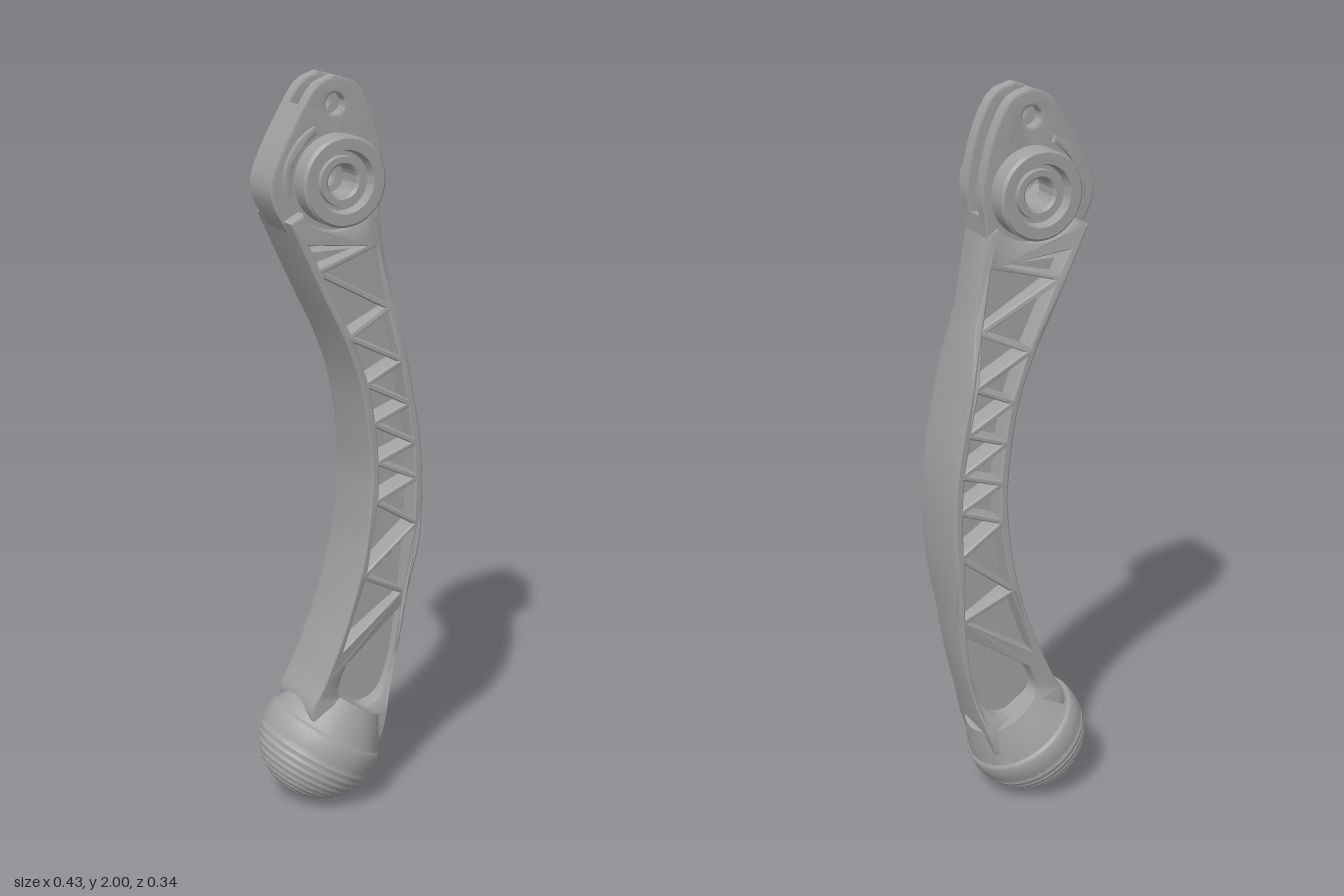
import * as THREE from 'three';
import { toCreasedNormals } from 'three/addons/utils/BufferGeometryUtils.js';

const V = (x, y) => new THREE.Vector2(x, y);
const pts = (list) => list.map(([x, y]) => V(x, y));
const spline = (list, n) => new THREE.SplineCurve(pts(list)).getPoints(n);

// Inner (-x) and outer (+x) edges of the curved leg, bottom to top
const INNER = spline([[-0.1, 0.22], [-0.128, 0.3], [-0.085, 0.39], [-0.02, 0.55], [0.03, 0.73], [0.05, 0.89],
  [0.05, 1.0], [0.025, 1.18], [-0.02, 1.315], [-0.1, 1.48], [-0.18, 1.65]], 60);
const OUTER = spline([[0.09, 0.17], [0.14, 0.335], [0.175, 0.49], [0.2, 0.68], [0.21, 0.89], [0.2, 1.05],
  [0.165, 1.235], [0.125, 1.45], [0.09, 1.645]], 60);
const HEAD_LEFT = spline([[-0.035, 2], [-0.09, 1.975], [-0.14, 1.9], [-0.19, 1.81], [-0.214, 1.74],
  [-0.202, 1.68], [-0.14, 1.58]], 40);
const HEAD_RIGHT = spline([[0.085, 1.58], [0.095, 1.68], [0.104, 1.75], [0.085, 1.85], [0.055, 1.93],
  [0.02, 1.98], [-0.035, 2]], 40);
const PIVOT = V(-0.035, 1.745);

// x of an edge at a given height
function edgeX(edge, y) {
  for (let i = 1; i < edge.length; i++) {
    const a = edge[i - 1], b = edge[i];
    if (y >= Math.min(a.y, b.y) && y <= Math.max(a.y, b.y) && a.y !== b.y) {
      return a.x + (b.x - a.x) * (y - a.y) / (b.y - a.y);
    }
  }
  return y < 0.5 ? edge[0].x : edge[edge.length - 1].x;
}

// Half thickness of the leg: the outer edge is wide only in the middle
function legHalf(x, y) {
  const l = edgeX(INNER, y), r = edgeX(OUTER, y);
  const u = THREE.MathUtils.clamp((x - l) / (r - l), 0, 1);
  const mid = THREE.MathUtils.smoothstep(y, 0.56, 0.78) * (1 - THREE.MathUtils.smoothstep(y, 1.26, 1.46));
  const outer = 0.062 + 0.038 * mid + 0.035 * (1 - THREE.MathUtils.smoothstep(y, 0.2, 0.36));
  return THREE.MathUtils.lerp(0.1, outer, u);
}

// Extrusion, symmetric in z, whose half thickness follows a rule
function slab(shape, half, bevel = 0.006) {
  const rel = bevel ? 0.1 : 0;
  const g = new THREE.ExtrudeGeometry(shape, {
    depth: 2 - 2 * rel, bevelEnabled: bevel > 0, bevelThickness: rel, bevelSize: bevel,
    bevelOffset: -bevel, bevelSegments: 2, curveSegments: 24,
  });
  g.translate(0, 0, rel - 1);
  const p = g.attributes.position;
  for (let i = 0; i < p.count; i++) p.setZ(i, p.getZ(i) * half(p.getX(i), p.getY(i)));
  return toCreasedNormals(g, 0.6);
}

function circleHole(x, y, r) {
  return new THREE.Path().absarc(x, y, r, 0, Math.PI * 2, true);
}

// Triangle shrunk towards its incentre, leaving a rib of even width
function insetTriangle(a, b, c, w) {
  const la = b.distanceTo(c), lb = c.distanceTo(a), lc = a.distanceTo(b), sum = la + lb + lc;
  const centre = V((a.x * la + b.x * lb + c.x * lc) / sum, (a.y * la + b.y * lb + c.y * lc) / sum);
  const area = Math.abs((b.x - a.x) * (c.y - a.y) - (c.x - a.x) * (b.y - a.y)) / 2;
  const k = 1 - w / (2 * area / sum);
  return new THREE.Path([a, b, c].map((p) => p.clone().sub(centre).multiplyScalar(k).add(centre)));
}

function lathe(profile, segments = 64) {
  return toCreasedNormals(new THREE.LatheGeometry(pts(profile), segments), 0.5);
}

export function createModel() {
  const model = new THREE.Group();
  const grey = new THREE.MeshStandardMaterial({ color: 0xa0a0a0 });
  grey.name = 'grey';
  const add = (name, geometry, parent = model) => {
    const mesh = new THREE.Mesh(geometry, grey);
    mesh.name = name;
    parent.add(mesh);
    return mesh;
  };

  // Leg frame with a scooped top below the pivot and zigzag ribs
  const scoop = [];
  for (let i = 0; i <= 16; i++) {
    const a = THREE.MathUtils.degToRad(320 - i * 105 / 16);
    scoop.push(V(PIVOT.x + 0.128 * Math.cos(a), PIVOT.y + 0.128 * Math.sin(a)));
  }
  const frame = new THREE.Shape([...OUTER, ...scoop, ...INNER.slice().reverse()]);
  const heights = [1.6, 1.57, 1.52, 1.4, 1.34, 1.26, 1.21, 1.14, 1.1, 1.03, 0.99, 0.93, 0.88, 0.8, 0.67, 0.59, 0.45];
  const nodes = heights.map((y, i) => (i % 2 === 0
    ? V(edgeX(INNER, y) + 0.018, y) : V(edgeX(OUTER, y) - 0.016, y)));
  for (let i = 0; i + 2 < nodes.length; i++) {
    frame.holes.push(insetTriangle(nodes[i], nodes[i + 1], nodes[i + 2], 0.008));
  }
  // Long rounded pocket above the foot
  const pocket = spline([[0.161, 0.545], [0.138, 0.4], [0.105, 0.31], [0.05, 0.28], [-0.01, 0.305],
    [-0.04, 0.35], [-0.015, 0.42]], 30);
  frame.holes.push(new THREE.Path(pocket));
  add('legFrame', slab(frame, legHalf));

  // Thin web that forms the pocket floors
  const web = [];
  for (let y = 0.24; y <= 1.6; y += 0.04) {
    web.push(V(edgeX(OUTER, y) - 0.01, y));
    web.unshift(V(edgeX(INNER, y) + 0.01, y));
  }
  add('legWeb', slab(new THREE.Shape(web), () => 0.042, 0));

  // Forked head: two cheeks and the spacer closing the slot at the rear
  const head = new THREE.Group();
  head.name = 'head';
  model.add(head);
  const cheek = new THREE.Shape([...HEAD_LEFT, ...HEAD_RIGHT.slice(0, -1)]);
  cheek.holes.push(circleHole(PIVOT.x, PIVOT.y, 0.041), circleHole(-0.035, 1.93, 0.027));
  const spacer = new THREE.Shape([
    ...HEAD_LEFT.filter((p) => p.y < 1.93),
    ...pts([[0.085, 1.58], [0.095, 1.69], [-0.03, 1.68], [-0.09, 1.74], [-0.12, 1.93]]),
  ]);
  add('slotSpacer', slab(spacer, () => 0.03, 0), head);

  // Raised stop beside the pivot
  const stop = new THREE.Shape();
  stop.absarc(PIVOT.x, PIVOT.y, 0.148, 2.0, 3.35, false);
  stop.absarc(PIVOT.x, PIVOT.y, 0.128, 3.35, 2.0, true);

  // Pivot boss with a recessed ring around the bore
  const bossProfile = [[0.115, 0.05], [0.115, 0.11], [0.108, 0.117], [0.08, 0.117], [0.074, 0.09],
    [0.064, 0.09], [0.062, 0.102], [0.046, 0.102], [0.04, 0.096], [0.04, 0.025]];
  for (const side of [1, -1]) {
    add('headCheek', slab(cheek, () => 0.0175), head).position.z = side * 0.0425;
    add('pivotStop', slab(stop, () => 0.008, 0.003), head).position.z = side * 0.064;
    const boss = add('pivotBoss', lathe(bossProfile), head);
    boss.rotation.x = side * Math.PI / 2;
    boss.position.set(PIVOT.x, PIVOT.y, 0);
  }

  // Tilted foot: ridged dome, rim and tapering ankle
  const dome = [[0, -0.17]];
  const rings = 9;
  for (let i = 1; i <= rings; i++) {
    const a = 0.2 + (i / rings) * 1.2;
    const c = Math.cos(a), s = Math.sin(a);
    dome.push([0.165 * s, -0.165 * c], [0.171 * s, -0.171 * c]);
    dome.push([0.171 * Math.sin(a + 0.07), -0.171 * Math.cos(a + 0.07)]);
  }
  dome.push([0.171, 0], [0.168, 0.03], [0.164, 0.036], [0.158, 0.04], [0.147, 0.07], [0.13, 0.105], [0.115, 0.138], [0, 0.138]);
  const foot = add('foot', lathe(dome, 72));
  foot.position.set(-0.05, 0.171, 0);
  foot.rotation.z = -0.575;

  return model;
}
